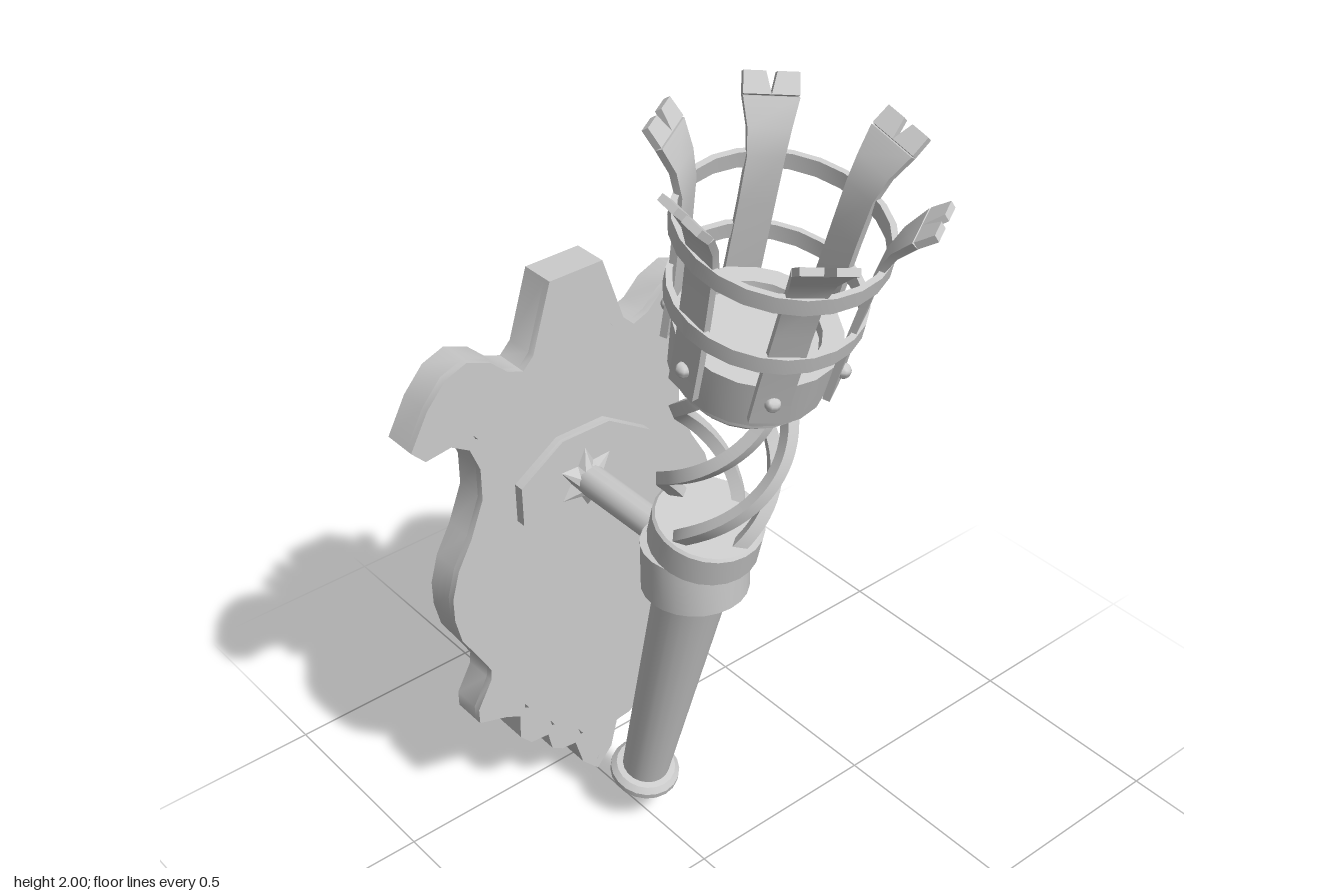
import * as THREE from 'three';
import { toCreasedNormals } from 'three/addons/utils/BufferGeometryUtils.js';

const material = new THREE.MeshStandardMaterial({ color: 0xcccccc });
const torchX = 0.006;

function add(parent, name, geometry, crease = 0.6) {
  const mesh = new THREE.Mesh(toCreasedNormals(geometry, crease), material);
  mesh.name = name;
  parent.add(mesh);
  return mesh;
}

const vecs = (pts) => pts.map(([x, y]) => new THREE.Vector2(x, y));
const lathe = (pts, sides = 20) => new THREE.LatheGeometry(vecs(pts), sides);

// Closed band of rectangular section around the y axis
const band = (inner, outer, low, high, sides = 24) =>
  lathe([[inner, low], [outer, low], [outer, high], [inner, high], [inner, low]], sides);

// Rectangular strip lofted through sections [radius, height, xLeft, xRight]
function strip(sections, thickness) {
  const pos = [], index = [];
  sections.forEach(([r, y, xa, xb], i) => {
    const p = sections[Math.max(i - 1, 0)], q = sections[Math.min(i + 1, sections.length - 1)];
    const dr = q[0] - p[0], dy = q[1] - p[1], len = Math.hypot(dr, dy);
    const ri = r - (dy / len) * thickness, yi = y + (dr / len) * thickness;
    pos.push(xa, y, r, xb, y, r, xb, yi, ri, xa, yi, ri);
    if (i === 0) return;
    const b = (i - 1) * 4;
    for (let k = 0; k < 4; k++) {
      const n = (k + 1) % 4;
      index.push(b + k, b + n, b + 4 + n, b + k, b + 4 + n, b + 4 + k);
    }
  });
  const t = pos.length / 3 - 4;
  index.push(0, 2, 1, 0, 3, 2, t, t + 1, t + 2, t, t + 2, t + 3);
  const g = new THREE.BufferGeometry();
  g.setAttribute('position', new THREE.Float32BufferAttribute(pos, 3));
  g.setIndex(index);
  return g;
}

// Moves a clockwise outline inwards by d
function inset(pts, d) {
  return pts.map((p, i) => {
    const a = pts[(i + pts.length - 1) % pts.length], b = pts[(i + 1) % pts.length];
    const t = b.clone().sub(a).normalize();
    return new THREE.Vector2(p.x + t.y * d, p.y - t.x * d);
  });
}

// Solid panel from z = back to front, framed by a raised rim
function framedPanel(parent, name, outline, rimWidth, back, front, rimHeight) {
  const extrude = (shape, z0, z1) =>
    new THREE.ExtrudeGeometry(shape, { depth: z1 - z0, bevelEnabled: false }).translate(0, 0, z0);
  const step = front - rimHeight;
  add(parent, name + 'Panel', extrude(new THREE.Shape(outline), back, step));
  const rim = new THREE.Shape(outline);
  rim.holes.push(new THREE.Path(inset(outline, rimWidth)));
  add(parent, name + 'Rim', extrude(rim, step, front));
}

function buildShield(model) {
  const half = vecs([[0.07, 1.435], [0.122, 1.275], [0.15, 1.247], [0.19, 1.262], [0.232, 1.302],
    [0.29, 1.325], [0.345, 1.305], [0.395, 1.25], [0.443, 1.165], [0.41, 1.13], [0.345, 1.138],
    [0.3, 1.11], [0.277, 1.05], [0.278, 0.97], [0.315, 0.88], [0.355, 0.81], [0.376, 0.74],
    [0.376, 0.68], [0.362, 0.615], [0.322, 0.545], [0.292, 0.49], [0.295, 0.46], [0.335, 0.39],
    [0.335, 0.35], [0.26, 0.325], [0.222, 0.305], [0.225, 0.24], [0.195, 0.205], [0.145, 0.2],
    [0.135, 0.15], [0.105, 0.13], [0.065, 0.125], [0.045, 0.05]]);
  const outline = [...half, new THREE.Vector2(0, 0),
    ...half.map((p) => new THREE.Vector2(-p.x, p.y)).reverse()];
  framedPanel(model, 'shield', outline, 0.03, -0.5, -0.415, 0.018);

  // Octagonal mount let into the shield
  const octagon = [[0.065, 0.125], [0.182, 0.05], [0.182, -0.05], [0.065, -0.125],
    [-0.065, -0.125], [-0.182, -0.05], [-0.182, 0.05], [-0.065, 0.125]];
  framedPanel(model, 'mount', vecs(octagon.map(([x, y]) => [x + 0.003, y + 0.905])),
    0.028, -0.5, -0.408, 0.01);
}

function buildBracket(model) {
  add(model, 'bracketArm', new THREE.CylinderGeometry(0.037, 0.037, 0.29, 16)
    .rotateX(Math.PI / 2).translate(torchX, 0.9, -0.275));

  // Six-pointed flare where the arm meets the mount
  const star = new THREE.CylinderGeometry(0.036, 0.08, 0.024, 12);
  const p = star.attributes.position;
  for (let i = 0; i < p.count; i++) {
    const step = Math.round(Math.atan2(p.getX(i), p.getZ(i)) / (Math.PI / 6));
    if (p.getY(i) < 0 && step % 2 !== 0) p.setXYZ(i, p.getX(i) * 0.55, p.getY(i), p.getZ(i) * 0.55);
  }
  add(model, 'armStar', star.rotateX(Math.PI / 2).translate(torchX, 0.9, -0.407), 0.2);

  add(model, 'bracketRing', band(0.07, 0.119, 0.825, 0.94).translate(torchX, 0, -0.037));
}

function buildTorch(model) {
  const torch = new THREE.Group();
  torch.name = 'torch';
  torch.position.set(torchX, 0.064, -0.248);
  torch.rotation.x = THREE.MathUtils.degToRad(15);
  model.add(torch);

  add(torch, 'handle', lathe([[0, 0], [0.03, 0.004], [0.047, 0.022], [0.053, 0.048], [0.072, 0.048],
    [0.084, 0.06], [0.084, 0.075], [0.072, 0.088], [0.057, 0.09], [0.087, 0.915], [0, 0.915]]));
  add(torch, 'collar', lathe([[0, 0.912], [0.112, 0.912], [0.122, 0.92], [0.122, 0.992],
    [0.116, 0.998], [0, 0.998]], 24));

  // Twisted cage of square bars
  const bars = 4;
  for (let k = 0; k < bars; k++) {
    const path = [];
    for (let i = 0; i <= 12; i++) {
      const t = i / 12, a = (k / bars) * Math.PI * 2 + t * Math.PI;
      const r = 0.088 + 0.034 * Math.sin(t * Math.PI);
      path.push(new THREE.Vector3(r * Math.sin(a), 0.98 + t * 0.42, r * Math.cos(a)));
    }
    add(torch, 'twistedBar', new THREE.TubeGeometry(new THREE.CatmullRomCurve3(path), 28, 0.019, 4));
  }

  // Stepped cup with a shallow floor
  add(torch, 'cup', lathe([[0, 1.385], [0.115, 1.385], [0.125, 1.412], [0.14, 1.412], [0.14, 1.437],
    [0.158, 1.437], [0.168, 1.55], [0.125, 1.55], [0.122, 1.53], [0, 1.53]], 20));

  // Hoops
  add(torch, 'lowerHoop', band(0.182, 0.195, 1.612, 1.648));
  add(torch, 'upperHoop', band(0.198, 0.211, 1.772, 1.808));

  // Six slats with forked, flared tips and a rivet at the foot
  for (let k = 0; k < 6; k++) {
    const slat = new THREE.Group();
    slat.name = 'slat';
    slat.rotation.y = ((k + 0.5) * Math.PI) / 3;
    torch.add(slat);
    add(slat, 'slatBody', strip([[0.176, 1.465, -0.036, 0.036], [0.18, 1.56, -0.036, 0.036],
      [0.191, 1.7, -0.036, 0.036], [0.201, 1.8, -0.037, 0.037], [0.218, 1.85, -0.043, 0.043],
      [0.248, 1.897, -0.055, 0.055]], 0.015));
    add(slat, 'leftProng', strip([[0.248, 1.897, 0, 0.055], [0.279, 1.927, 0.011, 0.054]], 0.015));
    add(slat, 'rightProng', strip([[0.248, 1.897, -0.055, 0], [0.279, 1.927, -0.054, -0.011]], 0.015));
    add(slat, 'rivet', new THREE.SphereGeometry(0.016, 10, 8).translate(0, 1.52, 0.18), 1);
  }
}

export function createModel() {
  const model = new THREE.Group();
  model.name = 'wallTorch';
  buildShield(model);
  buildBracket(model);
  buildTorch(model);
  return model;
}
